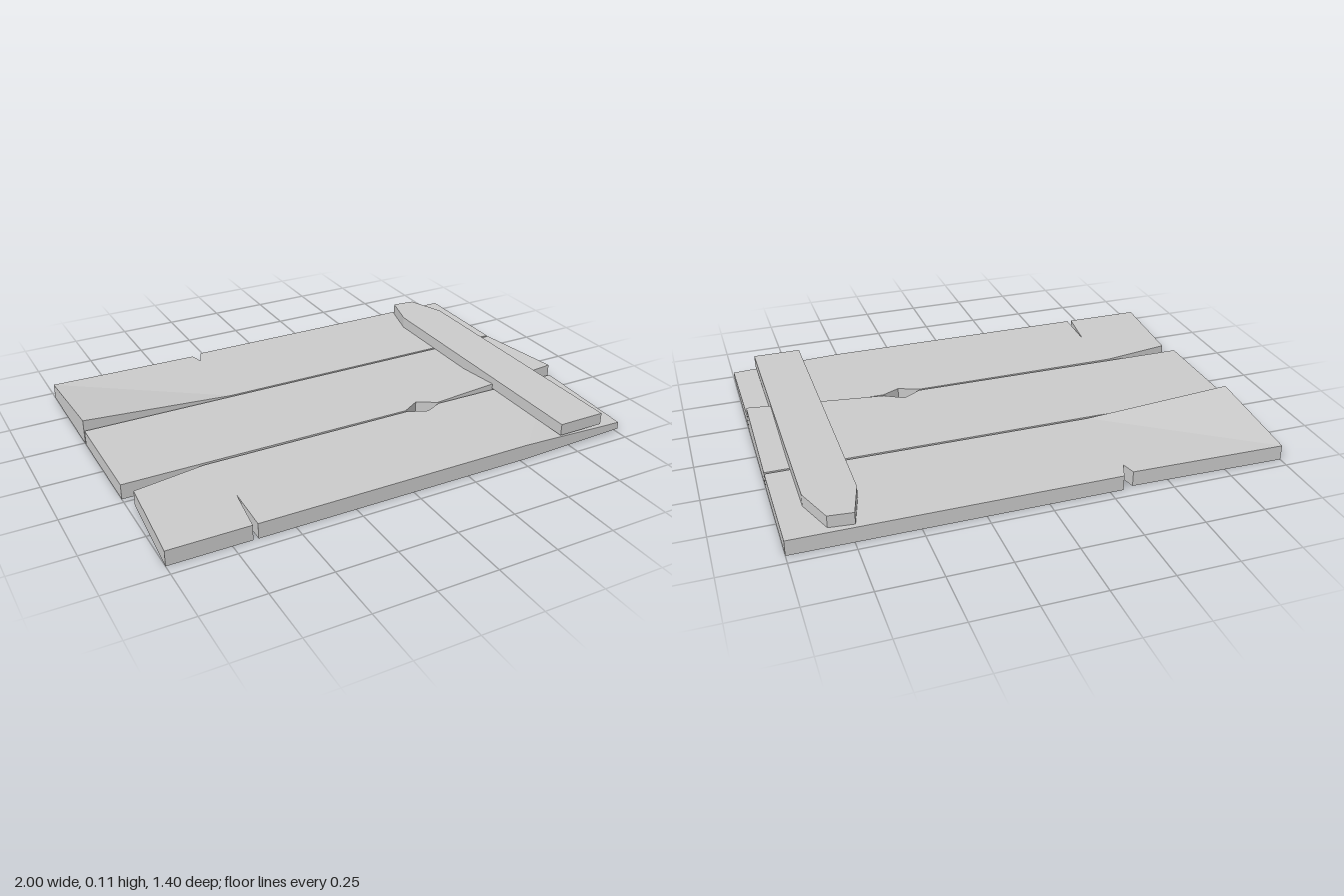
import * as THREE from 'three';

const material = new THREE.MeshStandardMaterial({ color: 0xcccccc, flatShading: true });
const TOP = 0.064;

// Upright slab over an outline of [x, z] points; the optional warp gives
// new low and high levels to the single corner at [x, z].
function slab(name, outline, low, high, warp) {
  const shape = new THREE.Shape(outline.map(([x, z]) => new THREE.Vector2(x, -z)));
  const geometry = new THREE.ExtrudeGeometry(shape, { depth: high - low, bevelEnabled: false });
  geometry.rotateX(-Math.PI / 2).translate(0, low, 0);
  if (warp) {
    const p = geometry.attributes.position;
    const middle = (low + high) / 2;
    for (let i = 0; i < p.count; i++) {
      if (Math.hypot(p.getX(i) - warp.at[0], p.getZ(i) - warp.at[1]) < 0.001) {
        p.setY(i, p.getY(i) > middle ? warp.high : warp.low);
      }
    }
  }
  geometry.computeVertexNormals();
  const mesh = new THREE.Mesh(geometry, material);
  mesh.name = name;
  return mesh;
}

// A plank is a flat body plus one triangular corner that is folded at its last point
function plank(name, body, corner, low, high) {
  const group = new THREE.Group();
  group.name = name;
  group.add(
    slab(name + 'Body', body, 0, TOP),
    slab(name + 'Corner', corner, 0, TOP, { at: corner[2], low, high }),
  );
  return group;
}

export function createModel() {
  const model = new THREE.Group();
  model.name = 'plankPanel';

  // Back plank: split in the outer edge, lifted inner corner
  model.add(plank('backPlank',
    [[-1, -0.705], [-0.35, -0.69], [-0.335, -0.63], [-0.305, -0.705],
      [1, -0.705], [1, -0.245], [-0.35, -0.245]],
    [[-1, -0.705], [-0.35, -0.245], [-1, -0.245]], 0, 0.107));

  // Middle plank: chipped front edge, lifted front corner
  model.add(plank('middlePlank',
    [[-1, -0.235], [1, -0.235], [0.41, 0.227], [0.33, 0.18], [0.25, 0.227], [-1, 0.227]],
    [[0.41, 0.227], [1, -0.235], [1, 0.227]], 0, 0.108));

  // Front plank: broken end, narrow crack, chip and a thinned corner
  model.add(plank('frontPlank',
    [[-0.97, 0.29], [-0.67, 0.24], [0.25, 0.236], [0.335, 0.272], [0.41, 0.236], [1, 0.24],
      [0.53, 0.7], [-0.65, 0.7], [-0.642, 0.49], [-0.67, 0.7], [-1, 0.7]],
    [[0.53, 0.7], [1, 0.24], [1, 0.7]], 0.016, 0.046));

  // Cross batten with a tapered back end
  model.add(slab('crossBatten',
    [[0.695, 0.7], [0.695, -0.52], [0.74, -0.685], [0.84, -0.675], [0.9, -0.51], [0.9, 0.7]],
    TOP, 0.114));

  return model;
}
